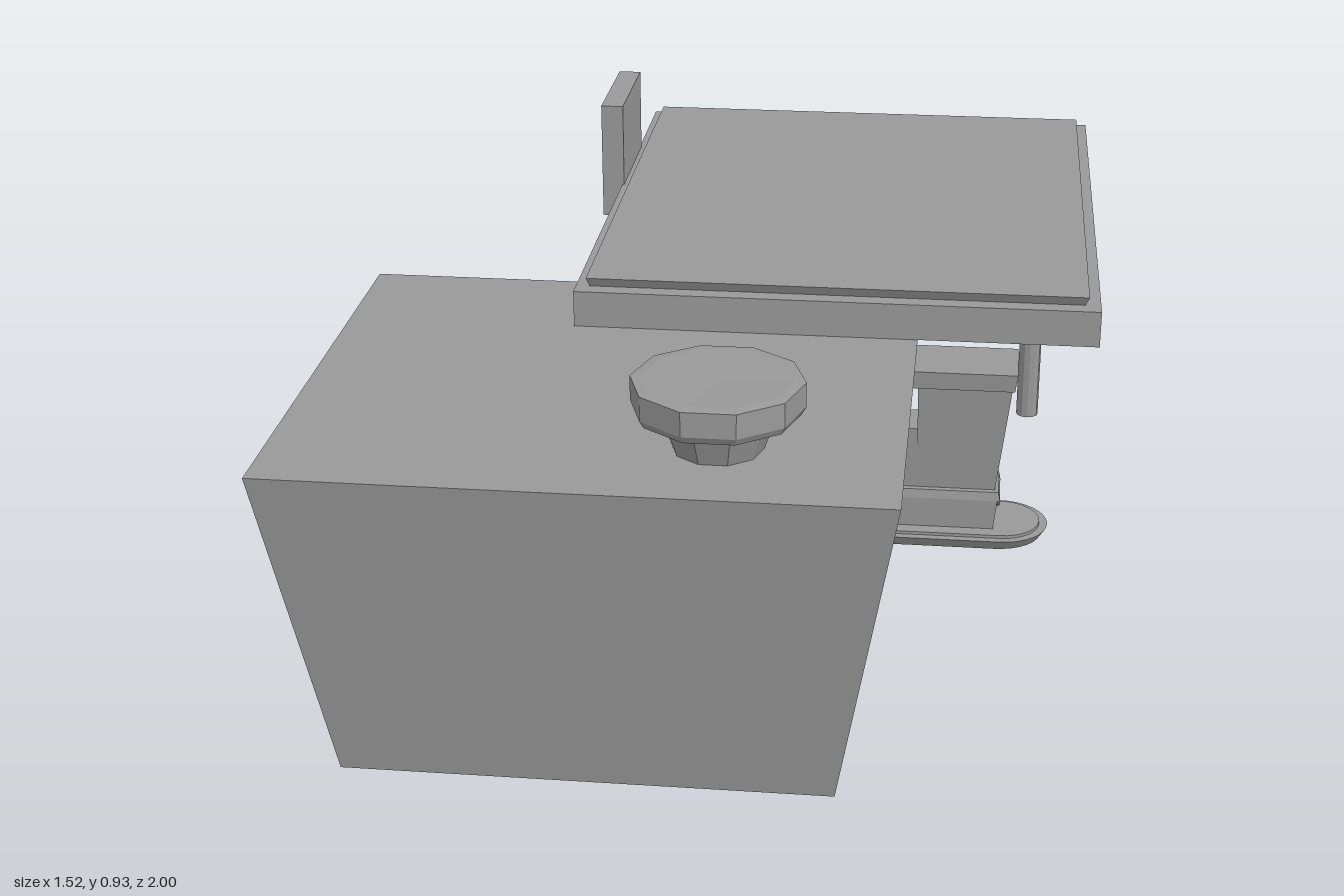
import * as THREE from 'three';

const material = new THREE.MeshStandardMaterial({ color: 0x999999, flatShading: true, side: THREE.DoubleSide });

function add(parent, name, geometry, x = 0, y = 0, z = 0) {
  const mesh = new THREE.Mesh(geometry, material);
  mesh.name = name;
  mesh.position.set(x, y, z);
  parent.add(mesh);
  return mesh;
}

// Box whose bottom and top rectangles differ: [x0, x1, z0, z1]
function taperedBox(y0, y1, bottom, top) {
  const geometry = new THREE.BoxGeometry(1, 1, 1);
  const p = geometry.attributes.position;
  for (let i = 0; i < p.count; i++) {
    const up = p.getY(i) > 0;
    const r = up ? top : bottom;
    p.setXYZ(i, p.getX(i) < 0 ? r[0] : r[1], up ? y1 : y0, p.getZ(i) < 0 ? r[2] : r[3]);
  }
  geometry.computeVertexNormals();
  return geometry;
}

const block = (x0, x1, y0, y1, z0, z1) => taperedBox(y0, y1, [x0, x1, z0, z1], [x0, x1, z0, z1]);

// Frame with a thin pane on a wall's local plane; flare widens its top edge
function framedPanel(parent, name, x0, x1, y0, y1, depth, border, flare = 0) {
  const outline = (Type, b) => {
    const path = new Type();
    path.moveTo(x0 + b, y0 + b);
    path.lineTo(x1 - b, y0 + b);
    path.lineTo(x1 - b + flare, y1 - b);
    path.lineTo(x0 + b - flare, y1 - b);
    path.closePath();
    return path;
  };
  const frame = outline(THREE.Shape, 0);
  frame.holes.push(outline(THREE.Path, border));
  add(parent, name + 'Frame', new THREE.ExtrudeGeometry(frame, { depth, bevelEnabled: false }));
  const pane = outline(THREE.Shape, border);
  add(parent, name + 'Pane', new THREE.ExtrudeGeometry(pane, { depth: depth * 0.4, bevelEnabled: false }));
}

// Group lying on a leaning wall: local y runs up the wall, local z points out
function wallGroup(parent, name, x, z, turn, lean) {
  const group = new THREE.Group();
  group.name = name;
  group.position.set(x, 0.02, z);
  group.rotation.set(lean, turn, 0, 'YXZ');
  parent.add(group);
  return group;
}

function makeShop() {
  const shop = new THREE.Group();
  shop.name = 'shop';

  // Hollow shell: the floor face (fourth of the six box sides) is left out
  const walls = taperedBox(0.02, 0.667, [-0.65, 0.29, 0.15, 0.91], [-0.762, 0.4, 0.05, 1]);
  const sides = Array.from(walls.index.array);
  sides.splice(18, 6);
  walls.setIndex(sides);
  add(shop, 'shopWalls', walls);
  add(shop, 'fascia', taperedBox(0.61, 0.667, [-0.752, 0.39, -0.005, 0.06], [-0.762, 0.4, -0.012, 0.052]));

  const back = wallGroup(shop, 'entranceWall', 0, 0.15, Math.PI, Math.atan(0.09 / 0.59));
  framedPanel(back, 'shopWindow', -0.28, 0.29, 0.125, 0.482, 0.02, 0.02, 0.05);
  framedPanel(back, 'innerDoor', 0.348, 0.473, 0, 0.34, 0.02, 0.022);
  framedPanel(back, 'outerDoor', 0.485, 0.61, 0, 0.34, 0.02, 0.022);

  const side = wallGroup(shop, 'sideWall', -0.65, 0, -Math.PI / 2, Math.atan(0.11 / 0.65));
  framedPanel(side, 'sideWindow', 0.485, 0.835, 0.195, 0.424, 0.04, 0.022);

  // Roof vent: flared neck under a ten-sided cap
  const profile = [[0, 0.667], [0.085, 0.667], [0.11, 0.738], [0.152, 0.738], [0.16, 0.752], [0.16, 0.8], [0.14, 0.802], [0, 0.798]];
  const vent = new THREE.LatheGeometry(profile.map(([r, y]) => new THREE.Vector2(r, y)), 10);
  add(shop, 'roofVent', vent, 0.058, 0, 0.777).rotation.y = Math.PI / 2;
  return shop;
}

function makeCanopy() {
  const canopy = new THREE.Group();
  canopy.name = 'canopy';
  add(canopy, 'canopySlab', block(-0.298, 0.762, 0.667, 0.742, -1, 0.235));
  add(canopy, 'canopyTopPanel', taperedBox(0.742, 0.762, [-0.27, 0.73, -0.97, 0.2], [-0.276, 0.738, -0.977, 0.21]));
  add(canopy, 'signBoard', block(-0.343, -0.294, 0.667, 0.926, -0.715, -0.437));
  for (const x of [-0.185, 0.655]) {
    add(canopy, 'canopyPost', new THREE.CylinderGeometry(0.027, 0.027, 0.675, 12), x, 0.3375, -0.92);
  }
  return canopy;
}

// Flat plate with round ends; its underside is drawn in by the inset
function stadium(halfLength, radius, height, inset) {
  const s = new THREE.Shape();
  const c = halfLength - radius;
  s.absarc(c, 0, radius, -Math.PI / 2, Math.PI / 2);
  s.absarc(-c, 0, radius, Math.PI / 2, Math.PI * 1.5);
  s.closePath();
  const geometry = new THREE.ExtrudeGeometry(s, { depth: height, curveSegments: 8, bevelEnabled: false });
  geometry.rotateX(-Math.PI / 2);
  const p = geometry.attributes.position;
  for (let i = 0; i < p.count; i++) {
    if (p.getY(i) > height / 2) continue;
    p.setX(i, p.getX(i) * (1 - inset / halfLength));
    p.setZ(i, p.getZ(i) * (1 - inset / radius));
  }
  geometry.computeVertexNormals();
  return geometry;
}

function makePump() {
  const pump = new THREE.Group();
  pump.name = 'fuelPump';
  add(pump, 'pumpBase', taperedBox(0.025, 0.125, [0.325, 0.57, -0.265, -0.155], [0.318, 0.58, -0.27, -0.152]));
  add(pump, 'pumpBaseRim', taperedBox(0.125, 0.145, [0.316, 0.586, -0.272, -0.15], [0.322, 0.582, -0.268, -0.154]));
  add(pump, 'pumpBody', taperedBox(0.14, 0.4, [0.4, 0.573, -0.252, -0.168], [0.395, 0.602, -0.276, -0.144]));
  add(pump, 'pumpStep', taperedBox(0.14, 0.291, [0.342, 0.42, -0.252, -0.168], [0.335, 0.42, -0.262, -0.158]));
  add(pump, 'pumpCap', taperedBox(0.398, 0.439, [0.384, 0.607, -0.283, -0.137], [0.379, 0.612, -0.287, -0.133]));

  // Hose loops from the side of the base to the nozzle on the back
  const path = new THREE.CatmullRomCurve3([
    [0.572, 0.145, -0.217], [0.583, 0.09, -0.22], [0.575, 0.067, -0.26], [0.53, 0.062, -0.283],
    [0.49, 0.085, -0.291], [0.475, 0.16, -0.289], [0.472, 0.23, -0.285],
  ].map((p) => new THREE.Vector3(...p)));
  add(pump, 'hose', new THREE.TubeGeometry(path, 24, 0.005, 6));
  add(pump, 'nozzle', block(-0.01, 0.01, -0.035, 0.035, -0.01, 0.01), 0.472, 0.235, -0.283).rotation.x = 0.2;
  add(pump, 'nozzleHolder', block(0.456, 0.488, 0.205, 0.265, -0.276, -0.25));
  return pump;
}

function makeIsland() {
  const island = new THREE.Group();
  island.name = 'pumpIsland';
  add(island, 'islandPlate', stadium(0.525, 0.106, 0.025, 0.015), 0.17, 0.022, -0.21);
  add(island, 'islandTop', stadium(0.507, 0.088, 0.008, 0), 0.17, 0.046, -0.21);
  for (const x of [0, -0.53]) {
    const pump = makePump();
    pump.position.x = x;
    island.add(pump);
  }
  return island;
}

export function createModel() {
  const model = new THREE.Group();
  model.name = 'fuelStation';
  model.add(makeShop(), makeCanopy(), makeIsland());
  return model;
}
